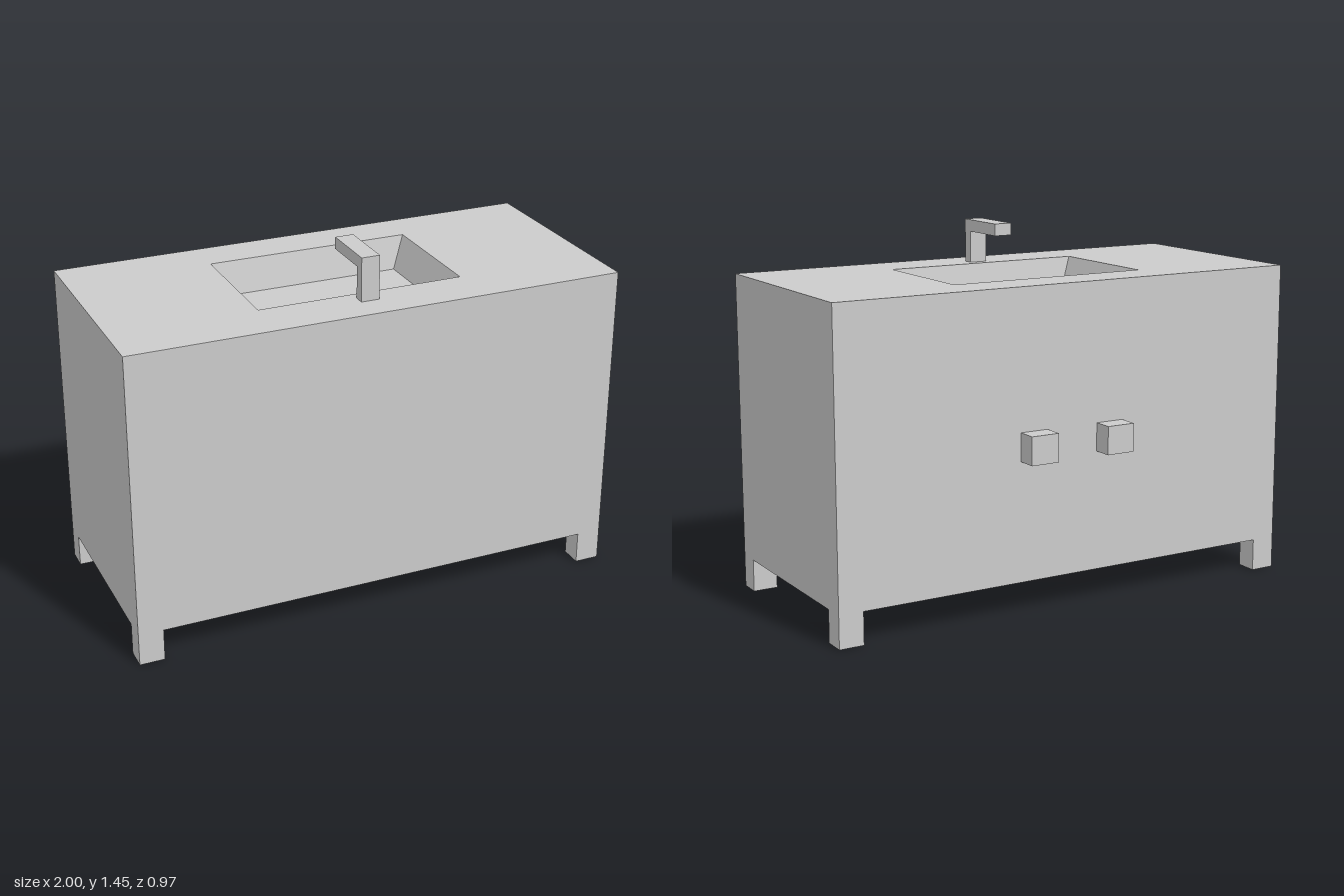
import * as THREE from 'three';

const BACK = -0.405, FRONT = 0.485, BASE = 0.13, TOP = 1.275;

// Closed skin through rectangular cross-sections [halfWidth, y, zBack, zFront]
function skinRects(rects) {
  const loops = rects.map(([w, y, z0, z1]) => [[-w, y, z1], [w, y, z1], [w, y, z0], [-w, y, z0]]);
  const pos = [];
  const quad = (a, b, c, d) => pos.push(...a, ...b, ...c, ...a, ...c, ...d);
  for (let i = 0; i < loops.length - 1; i++) {
    const lo = loops[i], hi = loops[i + 1];
    for (let k = 0; k < 4; k++) {
      const n = (k + 1) % 4;
      quad(lo[k], lo[n], hi[n], hi[k]);
    }
  }
  quad(...[...loops[0]].reverse());
  quad(...loops[loops.length - 1]);
  const geo = new THREE.BufferGeometry();
  geo.setAttribute('position', new THREE.Float32BufferAttribute(pos, 3));
  geo.computeVertexNormals();
  return geo;
}

export function createModel() {
  const model = new THREE.Group();
  model.name = 'sinkCabinet';
  const mat = new THREE.MeshStandardMaterial({ color: 0xcccccc, flatShading: true });

  const add = (name, geo, parent = model) => {
    const mesh = new THREE.Mesh(geo, mat);
    mesh.name = name;
    parent.add(mesh);
    return mesh;
  };
  // Box given by its extents on each axis
  const box = (name, [x0, x1], [y0, y1], [z0, z1], parent) =>
    add(name, new THREE.BoxGeometry(x1 - x0, y1 - y0, z1 - z0), parent)
      .position.set((x0 + x1) / 2, (y0 + y1) / 2, (z0 + z1) / 2);

  // Cabinet: outer walls, counter rim, then down the sloped basin to its floor
  add('cabinetWithBasin', skinRects([
    [1, BASE, BACK, FRONT],
    [1, TOP, BACK, FRONT],
    [0.417, TOP, -0.23, 0.28],
    [0.362, TOP - 0.13, -0.195, 0.25],
  ]));

  // Legs and door knobs, mirrored left and right
  for (const s of [-1, 1]) {
    const side = s < 0 ? 'Right' : 'Left';
    const span = (a, b) => (s < 0 ? [-b, -a] : [a, b]);
    box('frontLeg' + side, span(0.9, 1), [0, BASE], [FRONT - 0.088, FRONT]);
    box('backLeg' + side, span(0.9, 1), [0, BASE], [BACK, BACK + 0.088]);
    box('doorKnob' + side, span(0.112, 0.23), [0.607, 0.72], [-0.485, BACK]);
  }

  // Faucet: upright stem with a spout reaching over the basin
  const faucet = new THREE.Group();
  faucet.name = 'faucet';
  model.add(faucet);
  box('faucetStem', [-0.037, 0.037], [TOP, 1.402], [0.32, 0.363], faucet);
  box('faucetSpout', [-0.037, 0.037], [1.402, 1.45], [0.12, 0.363], faucet);

  return model;
}
